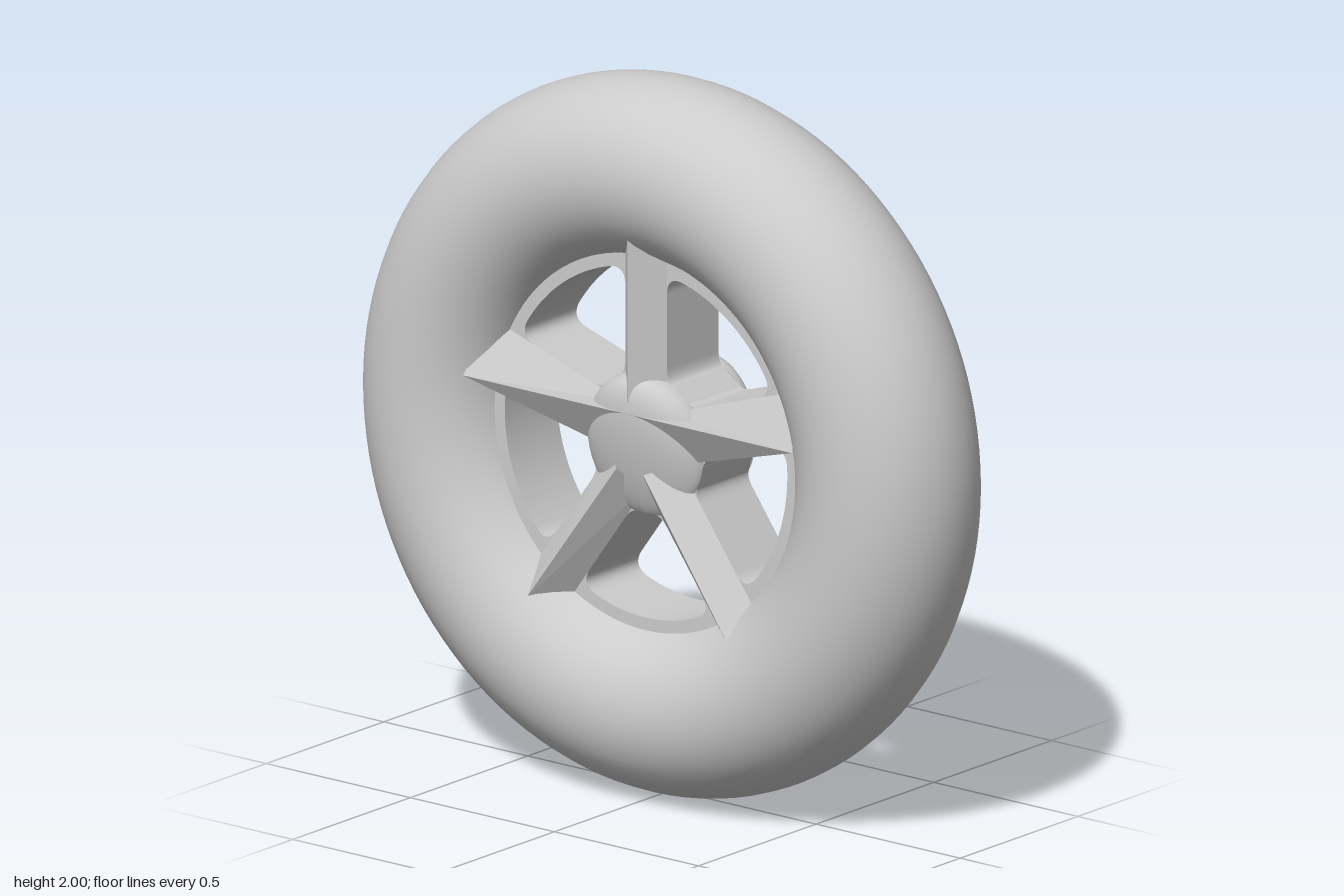
import * as THREE from 'three';

const SPOKES = 5;
const RIM = 0.49, HUB = 0.2, HALF_SPOKE = 0.072, PLATE = 0.11, RIDGE = 0.19, APEX = 0.1;
const grey = new THREE.MeshStandardMaterial({ color: 0xcccccc });
const greyBoth = new THREE.MeshStandardMaterial({ color: 0xcccccc, side: THREE.DoubleSide });

function addMesh(parent, name, geometry, material = grey) {
  const mesh = new THREE.Mesh(geometry, material);
  mesh.name = name;
  parent.add(mesh);
}

// Rounded window between two spokes, pointing along the angle mid
function windowPath(mid) {
  const at = (r, a) => [r * Math.cos(mid + a), r * Math.sin(mid + a)];
  const edge = (r) => Math.PI / SPOKES - Math.asin(HALF_SPOKE / r);
  const outer = edge(RIM) - 0.11, inner = edge(HUB) - 0.1;
  const path = new THREE.Path();
  path.moveTo(...at(RIM, -outer));
  path.absarc(0, 0, RIM, mid - outer, mid + outer, false);
  path.quadraticCurveTo(...at(RIM, edge(RIM)), ...at(RIM - 0.055, edge(RIM - 0.055)));
  path.lineTo(...at(HUB + 0.035, edge(HUB + 0.035)));
  path.quadraticCurveTo(...at(HUB, edge(HUB)), ...at(HUB, inner));
  path.lineTo(...at(HUB, -inner));
  path.quadraticCurveTo(...at(HUB, -edge(HUB)), ...at(HUB + 0.035, -edge(HUB + 0.035)));
  path.lineTo(...at(RIM - 0.055, -edge(RIM - 0.055)));
  path.quadraticCurveTo(...at(RIM, -edge(RIM)), ...at(RIM, -outer));
  return path;
}

// Disc with five windows, its axis along x
function spokePlate() {
  const shape = new THREE.Shape().absarc(0, 0, 0.6, 0, Math.PI * 2, false);
  for (let i = 0; i < SPOKES; i++) {
    shape.holes.push(windowPath(-Math.PI / 2 + (i * 2 * Math.PI) / SPOKES));
  }
  const geometry = new THREE.ExtrudeGeometry(shape, { depth: 2 * PLATE, bevelEnabled: false, curveSegments: 24 });
  return geometry.translate(0, 0, -PLATE).rotateY(Math.PI / 2);
}

// Roof-shaped ridge over one spoke
function spokeRidge(angle) {
  const c = Math.cos(angle), s = Math.sin(angle);
  const base = (r, side) => [PLATE, r * s + side * HALF_SPOKE * c, r * c - side * HALF_SPOKE * s];
  const upper = s > 0;
  const start = upper ? [RIDGE, APEX, 0] : [RIDGE - 0.01, 0.08 * s, 0.08 * c];
  const end = [RIDGE, upper && s < 0.9 ? APEX : 0.6 * s, 0.6 * c];
  const a = base(0.1, -1), b = base(0.1, 1), d = base(0.58, -1), e = base(0.58, 1);
  const faces = [a, end, d, a, start, end, b, e, end, b, end, start, d, end, e];
  const geometry = new THREE.BufferGeometry();
  geometry.setAttribute('position', new THREE.Float32BufferAttribute(faces.flat(), 3));
  geometry.computeVertexNormals();
  return geometry;
}

// Dome whose peak leans up to the point where the ridges meet
function hubDome() {
  const geometry = new THREE.SphereGeometry(1, 48, 14, 0, Math.PI * 2, 0, Math.PI / 2);
  const p = geometry.attributes.position;
  for (let i = 0; i < p.count; i++) {
    const h = Math.max(0, p.getY(i));
    p.setXYZ(i, PLATE + (RIDGE - PLATE) * h ** 1.4, HUB * p.getX(i) + APEX * h * h, -HUB * p.getZ(i));
  }
  geometry.computeVertexNormals();
  return geometry;
}

export function createModel() {
  const wheel = new THREE.Group();
  wheel.name = 'wheel';
  addMesh(wheel, 'tire', new THREE.TorusGeometry(0.75, 0.25, 40, 120).rotateY(Math.PI / 2));
  addMesh(wheel, 'spokePlate', spokePlate());

  // The same hub and ridges on both faces
  for (const side of [1, -1]) {
    const face = new THREE.Group();
    face.name = side > 0 ? 'leftFace' : 'rightFace';
    face.scale.x = side;
    addMesh(face, 'hub', hubDome(), greyBoth);
    for (let i = 0; i < SPOKES; i++) {
      addMesh(face, 'spokeRidge', spokeRidge(Math.PI / 2 + (i * 2 * Math.PI) / SPOKES), greyBoth);
    }
    wheel.add(face);
  }
  wheel.position.y = 1;

  const model = new THREE.Group();
  model.name = 'spokedWheel';
  model.add(wheel);
  return model;
}
